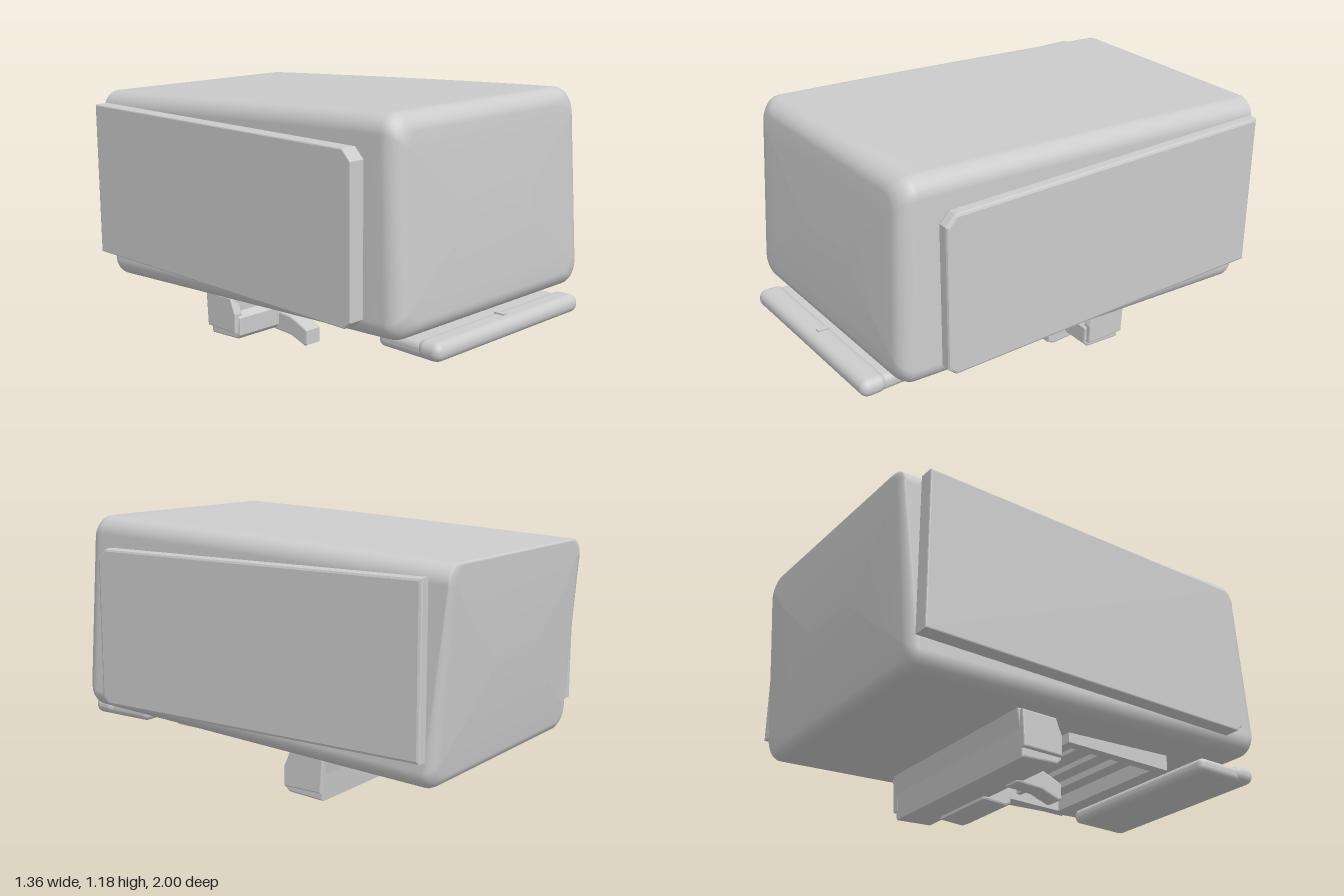
import * as THREE from 'three';
import { RoundedBoxGeometry } from 'three/addons/geometries/RoundedBoxGeometry.js';

const material = new THREE.MeshStandardMaterial({ color: 0xcccccc, side: THREE.DoubleSide });
const lerp = THREE.MathUtils.lerp;

function add(group, name, geometry) {
  const mesh = new THREE.Mesh(geometry, material);
  mesh.name = name;
  group.add(mesh);
  return mesh;
}

// Box given by its limits, rounded when r > 0
function block(x0, x1, y0, y1, z0, z1, r = 0) {
  const w = x1 - x0, h = y1 - y0, d = z1 - z0;
  const g = r > 0 ? new RoundedBoxGeometry(w, h, d, 4, r) : new THREE.BoxGeometry(w, h, d);
  return g.translate((x0 + x1) / 2, (y0 + y1) / 2, (z0 + z1) / 2);
}

// Side outline of [z, y] points, extruded across x
function profileX(points, x0, x1, bevel = 0) {
  const shape = new THREE.Shape(points.map(p => new THREE.Vector2(p[0], p[1])));
  const g = new THREE.ExtrudeGeometry(shape, {
    depth: x1 - x0 - 2 * bevel, bevelEnabled: bevel > 0,
    bevelSize: bevel, bevelThickness: bevel, bevelOffset: -bevel, bevelSegments: 2
  });
  return g.rotateY(-Math.PI / 2).translate(x1 - bevel, 0, 0);
}

// Rounded rectangular sections lofted from the front face to the back face
function shellGeometry() {
  const W = 0.61, H = 0.45, R = 0.08, N = 6;
  const section = [];
  for (let c = 0; c < 4; c++) {
    const cx = (c === 0 || c === 3 ? 1 : -1) * (W - R), cy = (c < 2 ? 1 : -1) * (H - R);
    for (let i = 0; i <= N; i++) {
      const a = (c + i / N) * Math.PI / 2;
      section.push([cx + R * Math.cos(a), cy + R * Math.sin(a)]);
    }
  }
  // Stations: [position front to back, inset, distance from the end face]
  const stations = [[0, H, 0], [0, 0.3, 0], [0, 0.15, 0]];
  const steps = 6;
  const fillet = (t, r, k) => {
    const a = k / steps * Math.PI / 2;
    return [t, r * (1 - Math.sin(a)), r * (1 - Math.cos(a))];
  };
  for (let k = 0; k <= steps; k++) stations.push(fillet(0, 0.075, k));
  for (let k = 1; k < 10; k++) stations.push([k / 10, 0, 0]);
  for (let k = steps; k >= 0; k--) stations.push(fillet(1, 0.05, k));
  stations.push([1, 0.15, 0], [1, 0.3, 0], [1, H, 0]);

  const positions = [], index = [], n = section.length;
  stations.forEach(([t, inset, off], s) => {
    for (const [px, py] of section) {
      // the upper rear edge stays crisp
      const crisp = t === 1 && py > 0 && inset < 0.1 ? 0.2 : 1;
      const x = px * (1 - inset / W), v = (py * (1 - inset * crisp / H) + H) / (2 * H);
      const front = 0.905 - 0.05 * v * v, back = -1 + 0.06 * (1 - v) ** 2;
      const z = lerp(front, back, t) + (t === 0 ? -off : off * crisp);
      const f = THREE.MathUtils.clamp((0.9 - z) / 1.9, 0, 1);
      const top = 1.19 - 0.09 * f ** 1.2, bottom = 0.31 - 0.095 * f;
      positions.push(x * (1 - 0.04 * v), lerp(bottom, top, v), z);
    }
    if (s === 0) return;
    for (let i = 0; i < n; i++) {
      const j = (i + 1) % n, a = (s - 1) * n, b = s * n;
      index.push(a + i, b + i, a + j, b + i, b + j, a + j);
    }
  });
  const g = new THREE.BufferGeometry();
  g.setAttribute('position', new THREE.Float32BufferAttribute(positions, 3));
  g.setIndex(index);
  g.computeVertexNormals();
  return g;
}

// Open rectangular frame lying flat beneath the shell
function frameGeometry() {
  const shape = new THREE.Shape([[-0.38, 0.54], [0.38, 0.54], [0.38, -0.02], [-0.38, -0.02]]
    .map(p => new THREE.Vector2(...p)));
  shape.holes.push(new THREE.Path([[-0.33, 0.48], [-0.33, 0.02], [0.33, 0.02], [0.33, 0.48]]
    .map(p => new THREE.Vector2(...p))));
  const g = new THREE.ExtrudeGeometry(shape, { depth: 0.08, bevelEnabled: false });
  return g.rotateX(Math.PI / 2).translate(0, 0.3, 0).applyMatrix4(new THREE.Matrix4()
    .makeTranslation(0, 0, 0));
}

export function createModel() {
  const model = new THREE.Group();
  model.name = 'boxUnit';

  add(model, 'shell', shellGeometry());

  // Side panels with clipped front corners
  const panel = [[-0.93, 0.35], [0.69, 0.35], [0.725, 0.38], [0.725, 1.01], [0.68, 1.055], [-0.93, 1.055]];
  add(model, 'rightPanel', profileX(panel, -0.68, -0.605, 0.006));
  add(model, 'leftPanel', profileX(panel, 0.615, 0.675, 0.012));

  // Front lip: thin plate, thick rounded edge and a small catch
  const lip = new THREE.Group();
  lip.name = 'frontLip';
  model.add(lip);
  add(lip, 'lipPlate', block(-0.47, 0.45, 0.225, 0.295, 0.67, 0.98, 0.03));
  add(lip, 'lipEdge', block(-0.48, 0.465, 0.228, 0.308, 0.88, 1, 0.038));
  add(lip, 'lipCatch', block(-0.012, 0.012, 0.29, 0.315, 0.9, 0.95));

  // Underside frame with recessed ribs
  const tray = new THREE.Group();
  tray.name = 'undersideFrame';
  model.add(tray);
  add(tray, 'frame', frameGeometry());
  for (const z of [0.12, 0.24, 0.36]) add(tray, 'frameRib', block(-0.33, 0.33, 0.252, 0.3, z - 0.012, z + 0.012));

  // Cross bar with end caps
  const clamp = new THREE.Group();
  clamp.name = 'clamp';
  model.add(clamp);
  const bar = [[-0.18, 0.25], [-0.37, 0.25], [-0.355, 0.16], [-0.345, 0.04], [-0.17, 0.05],
    [-0.15, 0.07], [-0.15, 0.15], [-0.18, 0.175]];
  add(clamp, 'crossBar', profileX(bar, -0.49, 0.47, 0.008));
  for (const x of [-0.51, 0.45]) {
    add(clamp, 'barEnd', profileX([[-0.19, 0.24], [-0.36, 0.24], [-0.35, 0.08], [-0.16, 0.08], [-0.16, 0.17]],
      x, x + 0.042, 0.006));
  }

  // Wide tab and narrow hook reaching forward from the bar
  add(clamp, 'wideTab', profileX([[-0.2, 0.13], [-0.2, 0.035], [-0.08, 0.03], [-0.05, 0.045], [-0.05, 0.1], [-0.08, 0.135]],
    -0.01, 0.335, 0.01));
  add(clamp, 'hook', profileX([[-0.2, 0.135], [-0.2, 0.04], [-0.07, 0.035], [0.02, 0.005], [0.037, 0.012],
    [0.037, 0.08], [0.02, 0.09], [-0.07, 0.125]], -0.255, -0.17, 0.008));

  return model;
}
